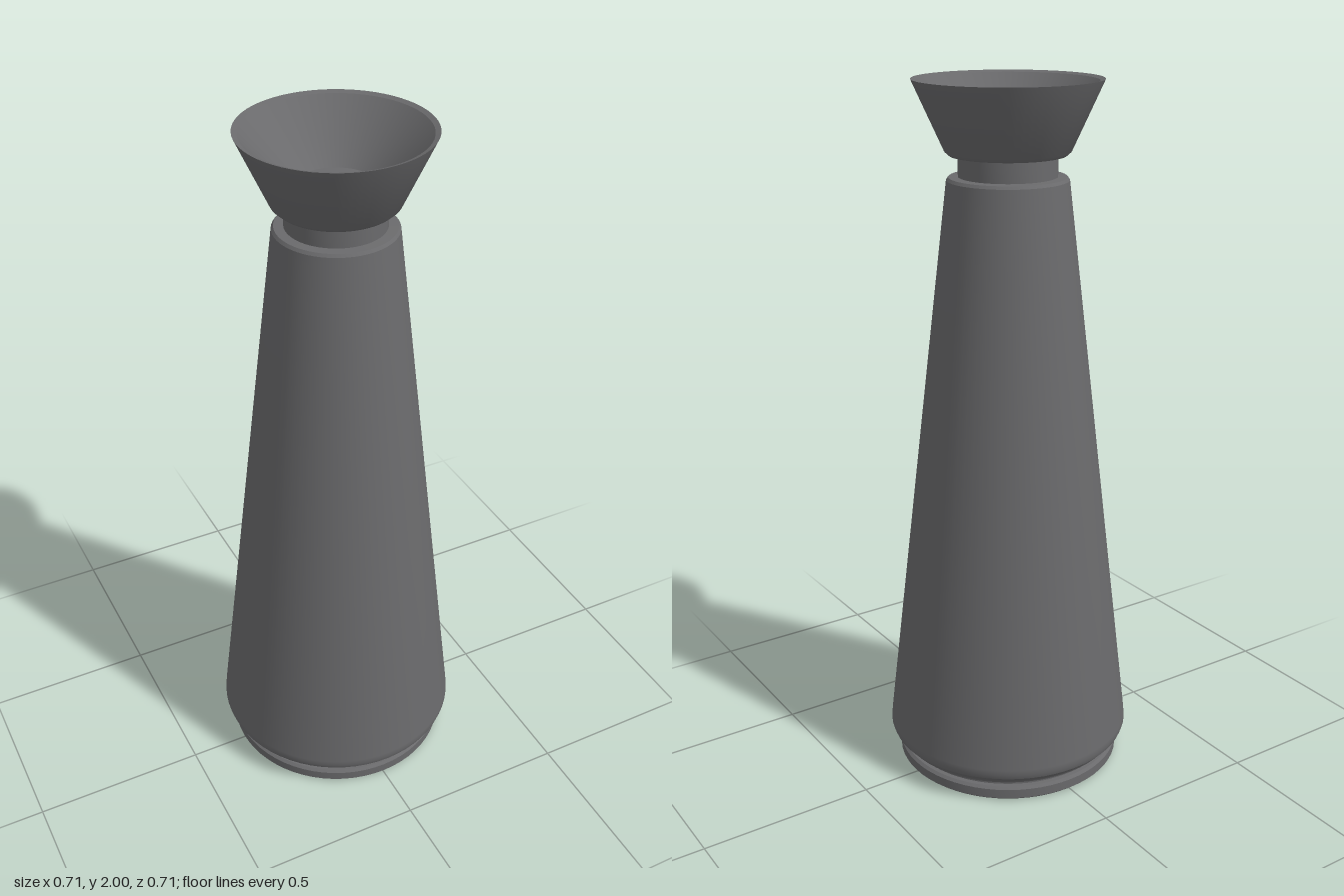
import * as THREE from 'three';
import { toCreasedNormals } from 'three/addons/utils/BufferGeometryUtils.js';

const SEGMENTS = 64;

// Turned part: the profile runs upwards along the outside as [radius, height]
function turned(name, profile, material) {
  const points = profile.map(([r, y]) => new THREE.Vector2(r, y));
  const geometry = toCreasedNormals(new THREE.LatheGeometry(points, SEGMENTS), 0.45);
  const mesh = new THREE.Mesh(geometry, material);
  mesh.name = name;
  return mesh;
}

export function createModel() {
  const group = new THREE.Group();
  group.name = 'vase';
  const grey = new THREE.MeshStandardMaterial({ color: 0x6a6a6c });
  grey.name = 'dark grey';

  // Flat foot disc with softened rims
  group.add(turned('foot', [
    [0, 0], [0.322, 0], [0.33, 0.007], [0.33, 0.034], [0.322, 0.041], [0.305, 0.042],
  ], grey));

  // Recessed groove between foot and body
  group.add(turned('footGroove', [[0.31, 0.038], [0.31, 0.064]], grey));

  // Long tapering body with a chamfered base and rounded shoulder
  group.add(turned('body', [
    [0.305, 0.06], [0.33, 0.06], [0.333, 0.067], [0.352, 0.085], [0.357, 0.1],
    [0.356, 0.115], [0.167, 1.735], [0.161, 1.743], [0.12, 1.745],
  ], grey));

  // Narrow neck
  group.add(turned('neck', [[0.135, 1.74], [0.135, 1.805]], grey));

  // Flared hollow cup with a thin rim and flat floor
  group.add(turned('cup', [
    [0.12, 1.8], [0.16, 1.802], [0.171, 1.812], [0.257, 2], [0.243, 1.995],
    [0.107, 1.85], [0, 1.85],
  ], grey));

  return group;
}
